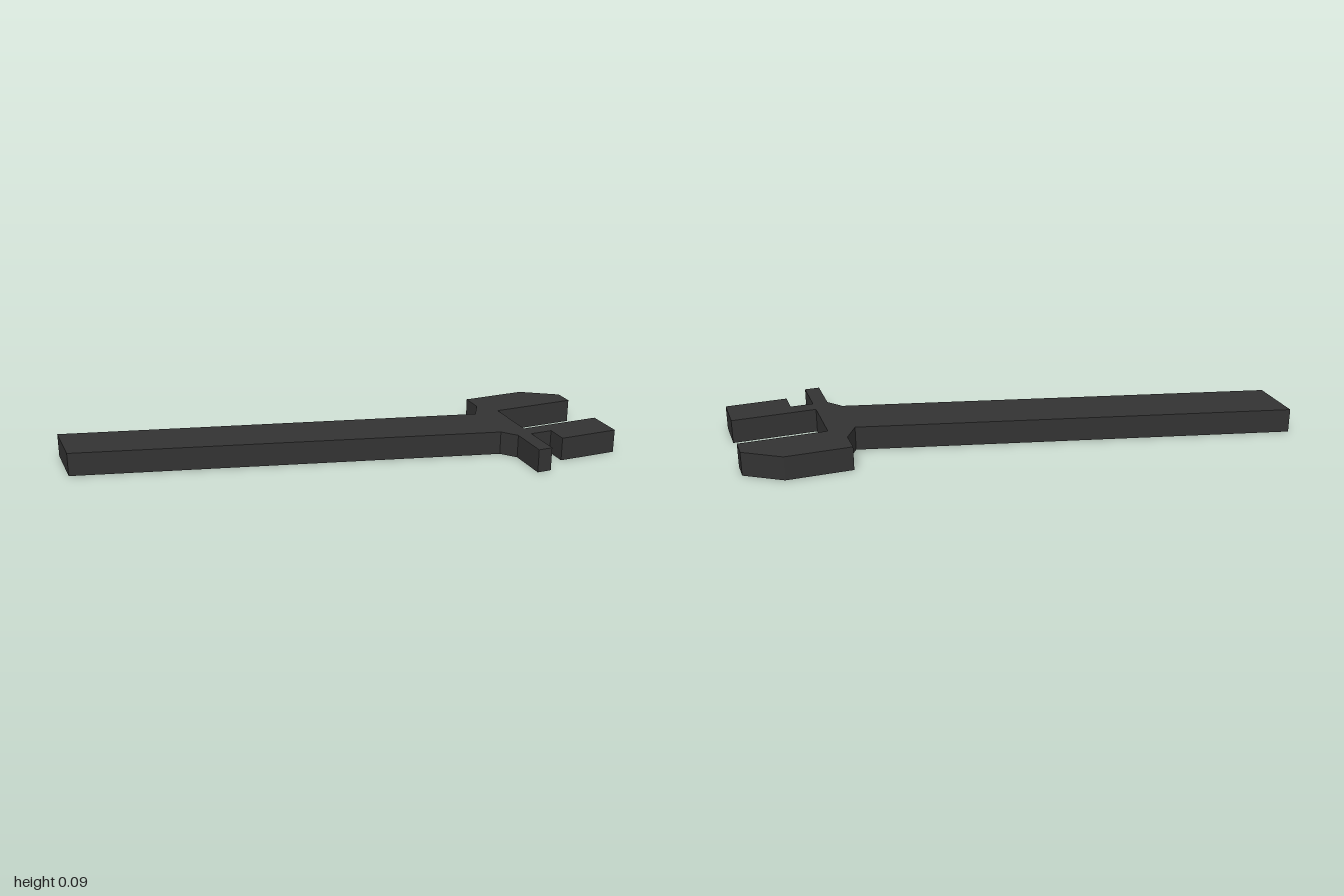
import * as THREE from 'three';

const THICKNESS = 0.09;

// Flat plate lying on the ground, from a plan outline of [x, z] corners
function plate(name, outline, material) {
  const shape = new THREE.Shape(outline.map(([x, z]) => new THREE.Vector2(x, -z)));
  const geometry = new THREE.ExtrudeGeometry(shape, { depth: THICKNESS, bevelEnabled: false });
  geometry.rotateX(-Math.PI / 2);
  const mesh = new THREE.Mesh(geometry, material);
  mesh.name = name;
  return mesh;
}

export function createModel() {
  const model = new THREE.Group();
  model.name = 'wrench';
  const steel = new THREE.MeshStandardMaterial({ color: 0x333333 });
  steel.name = 'dark steel';

  model.add(
    // Slanted bar
    plate('handle', [[-1, -0.405], [0.575, -0.015], [0.575, 0.195], [-1, -0.2]], steel),
    // Flared neck joining the handle to the head
    plate('neck', [[0.575, -0.015], [0.62, -0.09], [0.62, 0.25], [0.575, 0.195]], steel),
    // Upper jaw with a chamfered tip, its back plate and the lower rail in one piece
    plate('fixedJaw', [
      [0.62, -0.178], [0.865, -0.178], [1, -0.09], [1, -0.015], [0.675, -0.015],
      [0.675, 0.405], [0.62, 0.405],
    ], steel),
    // Lower jaw with its short arm
    plate('slidingJaw', [
      [0.675, 0.195], [0.99, 0.195], [0.99, 0.337], [0.76, 0.337], [0.76, 0.253], [0.675, 0.253],
    ], steel),
  );
  return model;
}
